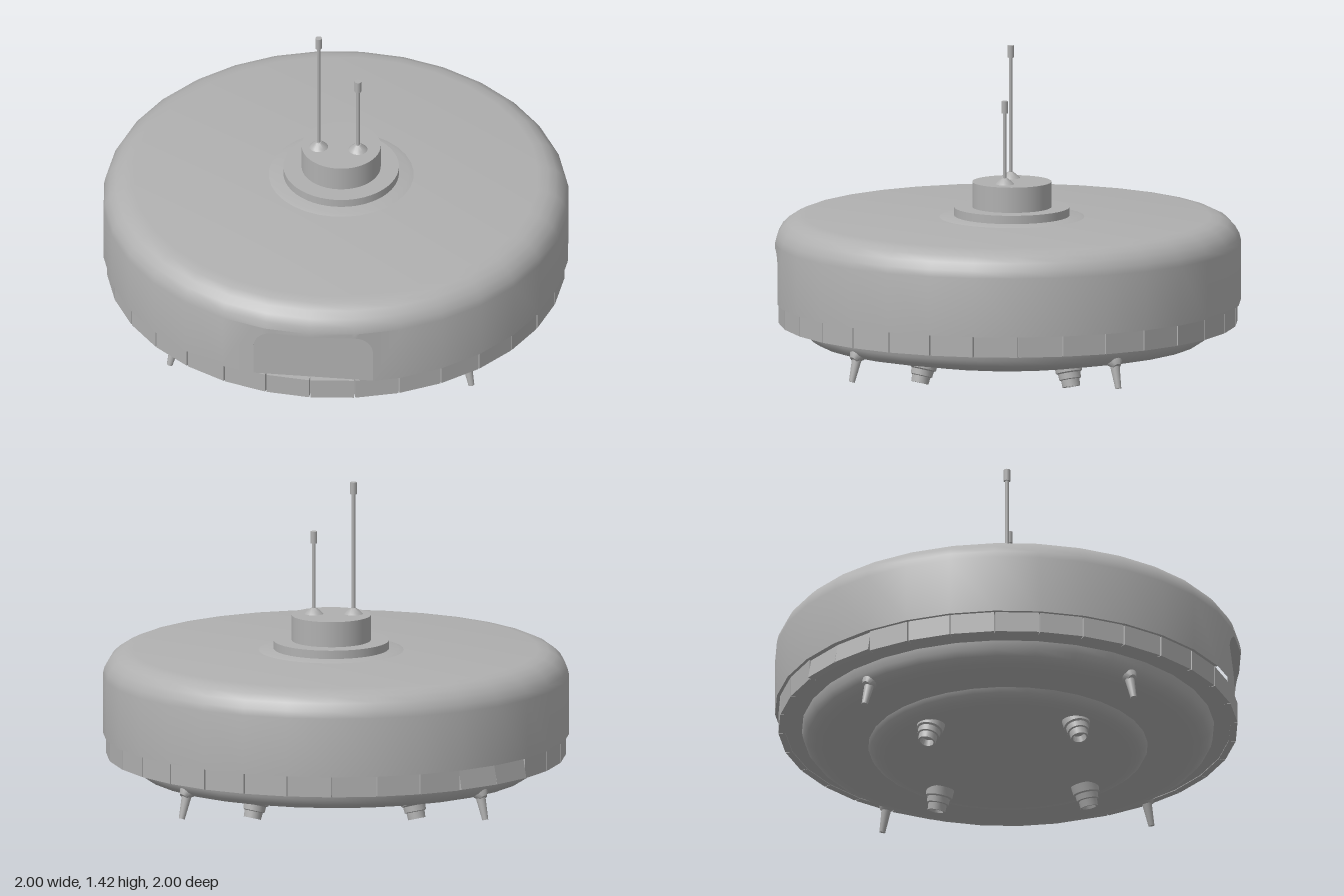
import * as THREE from 'three';
import { mergeGeometries, toCreasedNormals } from 'three/addons/utils/BufferGeometryUtils.js';

const SEG = 32, STEP = (Math.PI * 2) / SEG;
const hullGrey = new THREE.MeshStandardMaterial({ color: 0xb0b0b0 });

function add(parent, name, geometry, x = 0, y = 0, z = 0) {
  const mesh = new THREE.Mesh(geometry, hullGrey);
  mesh.name = name;
  mesh.position.set(x, y, z);
  parent.add(mesh);
  return mesh;
}

function lathe(points, segments = SEG, start = 0, length = Math.PI * 2) {
  const g = new THREE.LatheGeometry(points.map(p => new THREE.Vector2(...p)), segments, start, length);
  g.deleteAttribute('uv');
  return g.toNonIndexed();
}
const creased = g => toCreasedNormals(g, 0.6);

// Quads given as [a, b, c, d], counter-clockwise from the visible side
function quads(list) {
  const pos = [];
  for (const [a, b, c, d] of list) pos.push(...a, ...b, ...c, ...a, ...c, ...d);
  const g = new THREE.BufferGeometry();
  g.setAttribute('position', new THREE.Float32BufferAttribute(pos, 3));
  g.computeVertexNormals();
  return g;
}

// z of the faceted outer wall at a given x on the front
function wallZ(x) {
  const k = Math.floor(Math.asin(x) / STEP + 1e-6);
  const x0 = Math.sin(k * STEP), x1 = Math.sin((k + 1) * STEP);
  return THREE.MathUtils.lerp(Math.cos(k * STEP), Math.cos((k + 1) * STEP), (x - x0) / (x1 - x0));
}

export function createModel() {
  const model = new THREE.Group();
  const base = 0.325, shoulder = 0.58, left = -0.245, right = 0.27, r = 0.09, top = 0.56, panelZ = 0.957;

  // Outline of the front recess, from lower left to lower right
  const arch = [[left, base]];
  for (let i = 0; i <= 8; i++) {
    const a = Math.PI - (i / 8) * Math.PI / 2;
    arch.push([left + r + r * Math.cos(a), top - r + r * Math.sin(a)]);
  }
  arch.push([0, top]);
  for (let i = 0; i <= 8; i++) {
    const a = Math.PI / 2 - (i / 8) * Math.PI / 2;
    arch.push([right - r + r * Math.cos(a), top - r + r * Math.sin(a)]);
  }
  arch.push([right, base]);

  // Outer hull: dome, wall, and front wall strip around the recess
  const edge = Math.sin(2 * STEP);
  const columns = [[-edge, base], ...arch, [edge, base]];
  const strip = [];
  for (let i = 0; i < columns.length - 1; i++) {
    const [x0, y0] = columns[i], [x1, y1] = columns[i + 1];
    if (x1 - x0 < 1e-5) continue;
    const z0 = wallZ(x0), z1 = wallZ(x1);
    strip.push([[x0, y0, z0], [x1, y1, z1], [x1, shoulder, z1], [x0, shoulder, z0]]);
  }
  const dome = lathe([[1, shoulder], [0.993, 0.61], [0.975, 0.642], [0.948, 0.668], [0.913, 0.685], [0.87, 0.692], [0, 0.693]]);
  const wall = lathe([[0.95, base], [1, base], [1, shoulder]], SEG - 4, 2 * STEP, (SEG - 4) * STEP);
  add(model, 'outerHull', creased(mergeGeometries([dome, wall, quads(strip)])));

  // Front recess
  const rim = [];
  for (let i = 0; i < arch.length - 1; i++) {
    const [x0, y0] = arch[i], [x1, y1] = arch[i + 1];
    rim.push([[x0, y0, wallZ(x0)], [x0, y0, panelZ], [x1, y1, panelZ], [x1, y1, wallZ(x1)]]);
  }
  add(model, 'recessRim', creased(quads(rim)));
  add(model, 'recessPanel', new THREE.ShapeGeometry(new THREE.Shape(arch.map(p => new THREE.Vector2(...p)))), 0, 0, panelZ);

  // Underside, with a shallow central step
  add(model, 'underside', creased(lathe([
    [0, 0.102], [0.53, 0.102], [0.565, 0.112], [0.59, 0.13], [0.6, 0.15], [0.79, 0.15], [0.83, 0.158],
    [0.86, 0.177], [0.878, 0.203], [0.885, 0.238], [0.962, 0.238], [0.962, base], [0.95, base],
  ])));

  // Ring of separate plates under the wall; two at the rear lean back
  const band = new THREE.Group();
  band.name = 'plateBand';
  model.add(band);
  for (let i = 0; i < SEG; i++) {
    const pivot = new THREE.Group();
    pivot.name = 'plateMount';
    pivot.rotation.y = (i + 0.5) * STEP;
    const hatch = i === 19 || i === 20;
    const plate = add(pivot, hatch ? 'rearHatch' : 'bandPlate',
      new THREE.BoxGeometry(hatch ? 0.193 : 0.187, 0.09, 0.03), 0, 0.28, 0.966);
    if (hatch) plate.rotation.x = -0.2;
    band.add(pivot);
  }

  // Hub on top, slightly off centre
  const hx = 0.02, hz = -0.02;
  add(model, 'hubBlend', creased(lathe([[0.32, 0.69], [0.29, 0.699], [0, 0.702]])), hx, 0, hz);
  add(model, 'hubFlange', new THREE.CylinderGeometry(0.248, 0.248, 0.045, 48), hx, 0.713, hz);
  add(model, 'hub', new THREE.CylinderGeometry(0.17, 0.17, 0.12, 48), hx, 0.785, hz);

  // Antennas
  for (const [x, tip] of [[-0.075, 1.42], [0.095, 1.205]]) {
    const antenna = new THREE.Group();
    antenna.name = 'antenna';
    antenna.position.set(x, 0, 0);
    model.add(antenna);
    add(antenna, 'antennaBase', creased(lathe([[0.042, 0.844], [0.034, 0.853], [0.012, 0.871], [0, 0.872]], 16)));
    add(antenna, 'antennaRod', new THREE.CylinderGeometry(0.008, 0.008, tip - 0.88, 12), 0, (tip + 0.82) / 2, 0);
    add(antenna, 'antennaTip', new THREE.CylinderGeometry(0.0145, 0.0145, 0.052, 12), 0, tip - 0.026, 0);
  }

  // Underside fittings, repeated on four diagonals
  const fitting = (name, x, y, z, tilt) => {
    const pivot = new THREE.Group(), body = new THREE.Group();
    pivot.name = name + 'Mount';
    body.name = name;
    pivot.position.set(x, y, z);
    pivot.rotation.y = Math.atan2(x, z);
    body.rotation.x = -tilt;
    pivot.add(body);
    model.add(pivot);
    return body;
  };
  for (const sx of [-1, 1]) for (const sz of [-1, 1]) {
    // Pointed outer foot with a conical collar
    const foot = fitting('foot', sx * 0.625, 0.18, sz * 0.555, 0.28);
    const collar = add(foot, 'footCollar', creased(lathe([[0, -0.035], [0.018, -0.035], [0.036, -0.008], [0.042, 0.015], [0, 0.015]], 16)));
    collar.rotation.x = -0.5;
    add(foot, 'footSpike', new THREE.CylinderGeometry(0.023, 0.013, 0.125, 16), 0, -0.0625, 0);
    // Inner thruster nozzle, hollow at the mouth
    const nozzle = fitting('thruster', sx * 0.335, 0.1, sz * 0.312, 0.28);
    add(nozzle, 'thrusterNozzle', creased(lathe([
      [0, -0.06], [0.026, -0.06], [0.03, -0.088], [0.038, -0.088], [0.04, -0.058], [0.047, -0.055],
      [0.049, -0.03], [0.057, -0.025], [0.06, 0.012], [0, 0.012],
    ], 20)));
  }
  return model;
}
